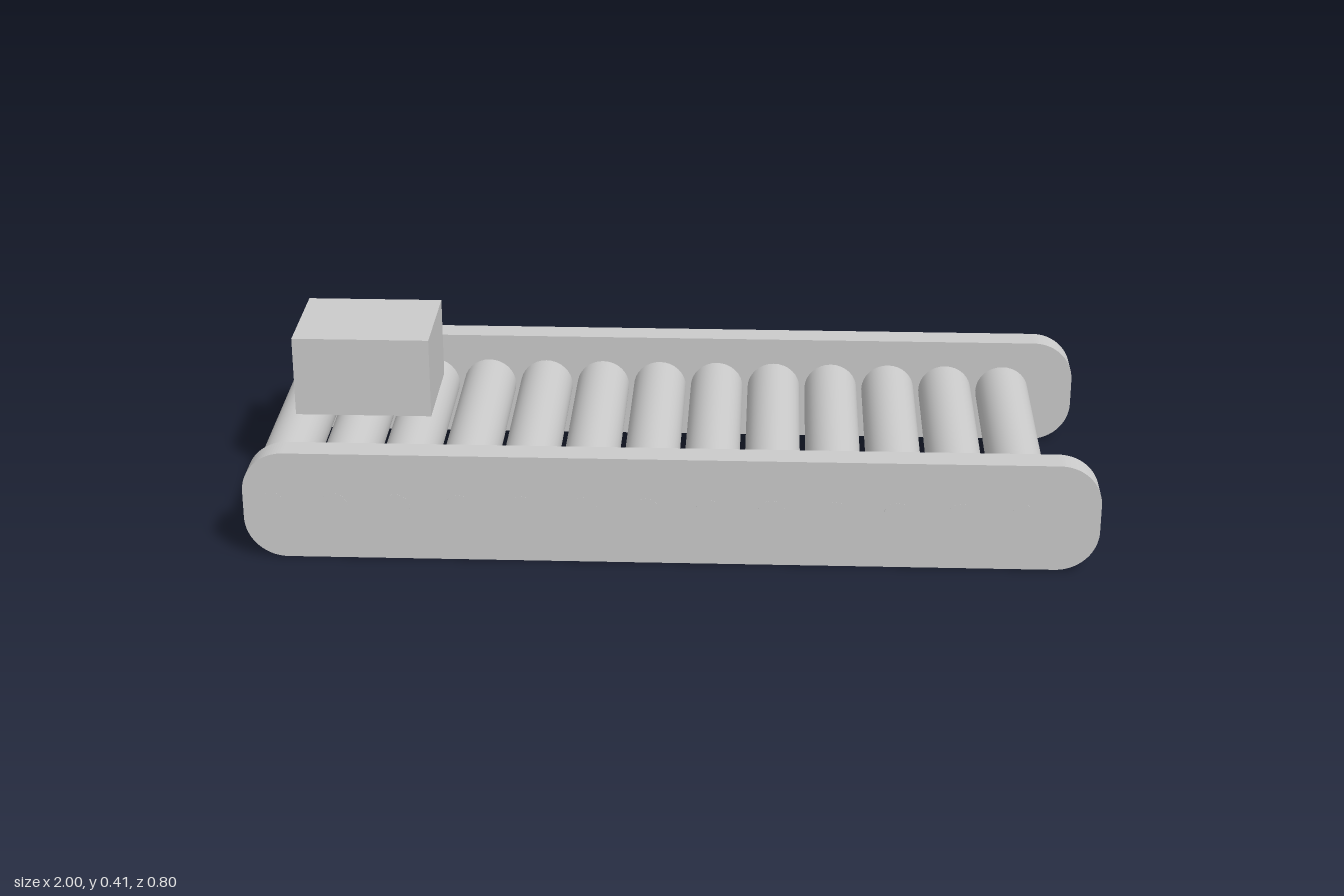
import * as THREE from 'three';

const HEIGHT = 0.267, RAIL_DEPTH = 0.065, CORNER = 0.1;
const ROLLERS = 13, PITCH = 0.1463, FIRST_X = -0.933;

// Side rail outline: a long rounded rectangle
function railGeometry() {
  const r = CORNER, s = new THREE.Shape();
  s.moveTo(-1 + r, 0);
  s.lineTo(1 - r, 0);
  s.absarc(1 - r, r, r, -Math.PI / 2, 0, false);
  s.absarc(1 - r, HEIGHT - r, r, 0, Math.PI / 2, false);
  s.absarc(-1 + r, HEIGHT - r, r, Math.PI / 2, Math.PI, false);
  s.absarc(-1 + r, r, r, Math.PI, Math.PI * 1.5, false);
  return new THREE.ExtrudeGeometry(s, { depth: RAIL_DEPTH, bevelEnabled: false, curveSegments: 12 });
}

export function createModel() {
  const model = new THREE.Group();
  model.name = 'rollerConveyor';
  const material = new THREE.MeshStandardMaterial({ color: 0xcccccc });

  const add = (name, geometry, x, y, z) => {
    const mesh = new THREE.Mesh(geometry, material);
    mesh.name = name;
    mesh.position.set(x, y, z);
    model.add(mesh);
  };

  // Two side rails
  const rail = railGeometry();
  add('frontRail', rail, 0, 0, 0.4 - RAIL_DEPTH);
  add('backRail', rail, 0, 0, -0.4);

  // Row of rollers, each on a thin axle ending flush with the rails
  const roller = new THREE.CylinderGeometry(0.0667, 0.0667, 0.67, 32).rotateX(Math.PI / 2);
  const axle = new THREE.CylinderGeometry(0.033, 0.033, 0.8005, 24).rotateX(Math.PI / 2);
  for (let i = 0; i < ROLLERS; i++) {
    const x = FIRST_X + i * PITCH;
    add(`roller${i + 1}`, roller, x, HEIGHT / 2, 0);
    add(`axle${i + 1}`, axle, x, HEIGHT / 2, 0);
  }

  // Parcel riding just above the rollers
  add('parcel', new THREE.BoxGeometry(0.333, 0.2, 0.267), -0.765, 0.307, -0.09);

  return model;
}
